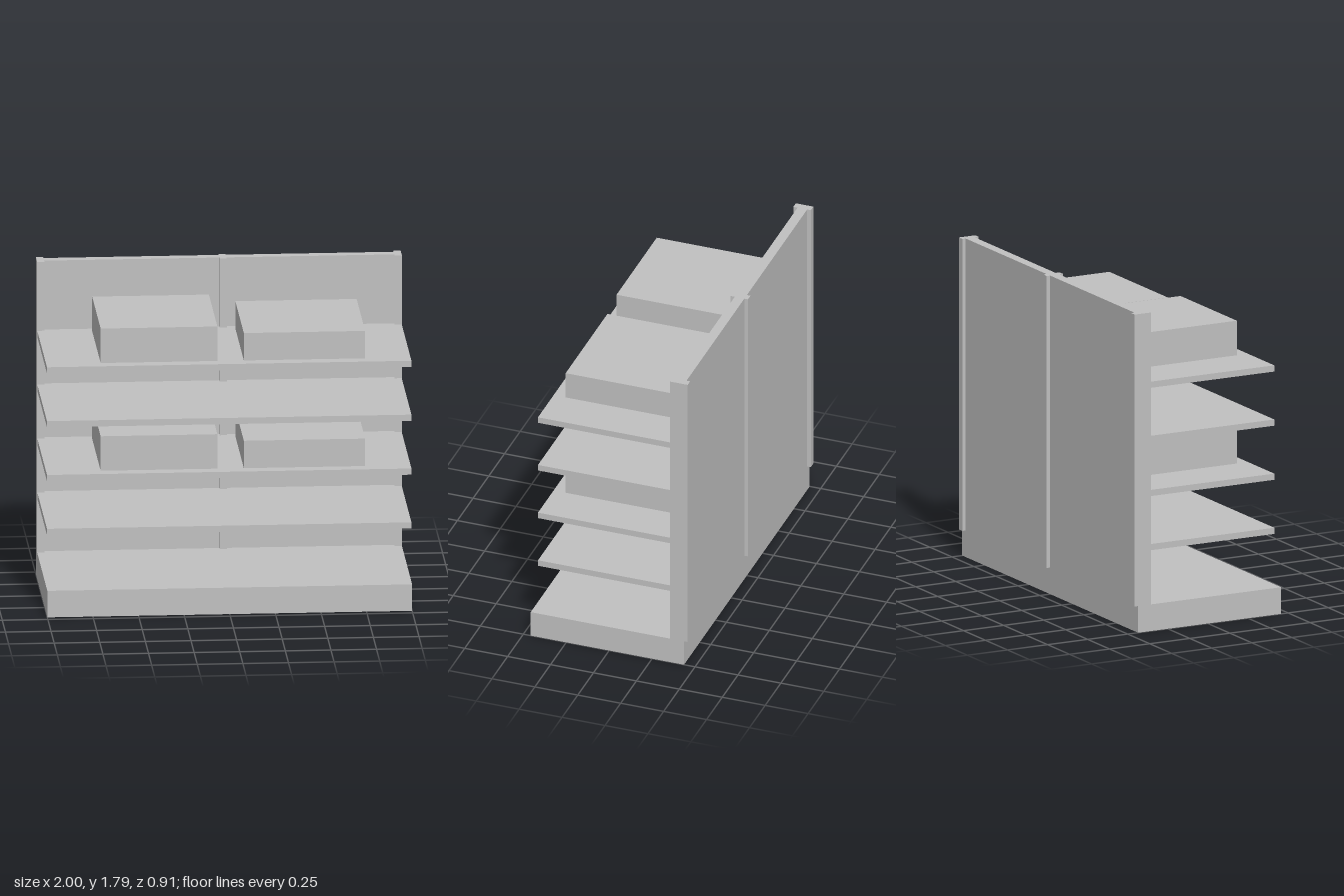
import * as THREE from 'three';

const grey = new THREE.MeshStandardMaterial({ color: 0xc0c0c0 });
grey.name = 'shelf grey';

// Box given by its [min, max] extents on each axis
function box(name, [x0, x1], [y0, y1], [z0, z1]) {
  const mesh = new THREE.Mesh(new THREE.BoxGeometry(x1 - x0, y1 - y0, z1 - z0), grey);
  mesh.position.set((x0 + x1) / 2, (y0 + y1) / 2, (z0 + z1) / 2);
  mesh.name = name;
  return mesh;
}

export function createModel() {
  const model = new THREE.Group();
  model.name = 'displayShelf';
  const baseTop = 0.15, top = 1.795;
  const panelFront = -0.38, panelBack = -0.436;

  // Plinth and back panel
  model.add(box('base', [-1, 1], [0, baseTop], [panelBack, 0.457]));
  model.add(box('backPanel', [-0.999, 0.999], [baseTop, top], [panelBack, panelFront]));

  // Uprights, standing proud of the panel on both sides
  for (const x of [-1, 0, 0.96]) {
    model.add(box('upright', [x, x + 0.04], [baseTop, top], [-0.457, -0.355]));
  }

  // Four evenly spaced shelves, with a pair of boxes on every second one
  for (let i = 0; i < 4; i++) {
    const y = 0.49 + i * 0.305;
    model.add(box('shelf', [-0.999, 0.999], [y - 0.035, y], [panelFront, 0.415]));
    if (i % 2 === 1) {
      model.add(box('tallBox', [-0.7, -0.06], [y, y + 0.195], [-0.33, 0.345]));
      model.add(box('lowBox', [0.085, 0.75], [y, y + 0.155], [-0.33, 0.345]));
    }
  }
  return model;
}
